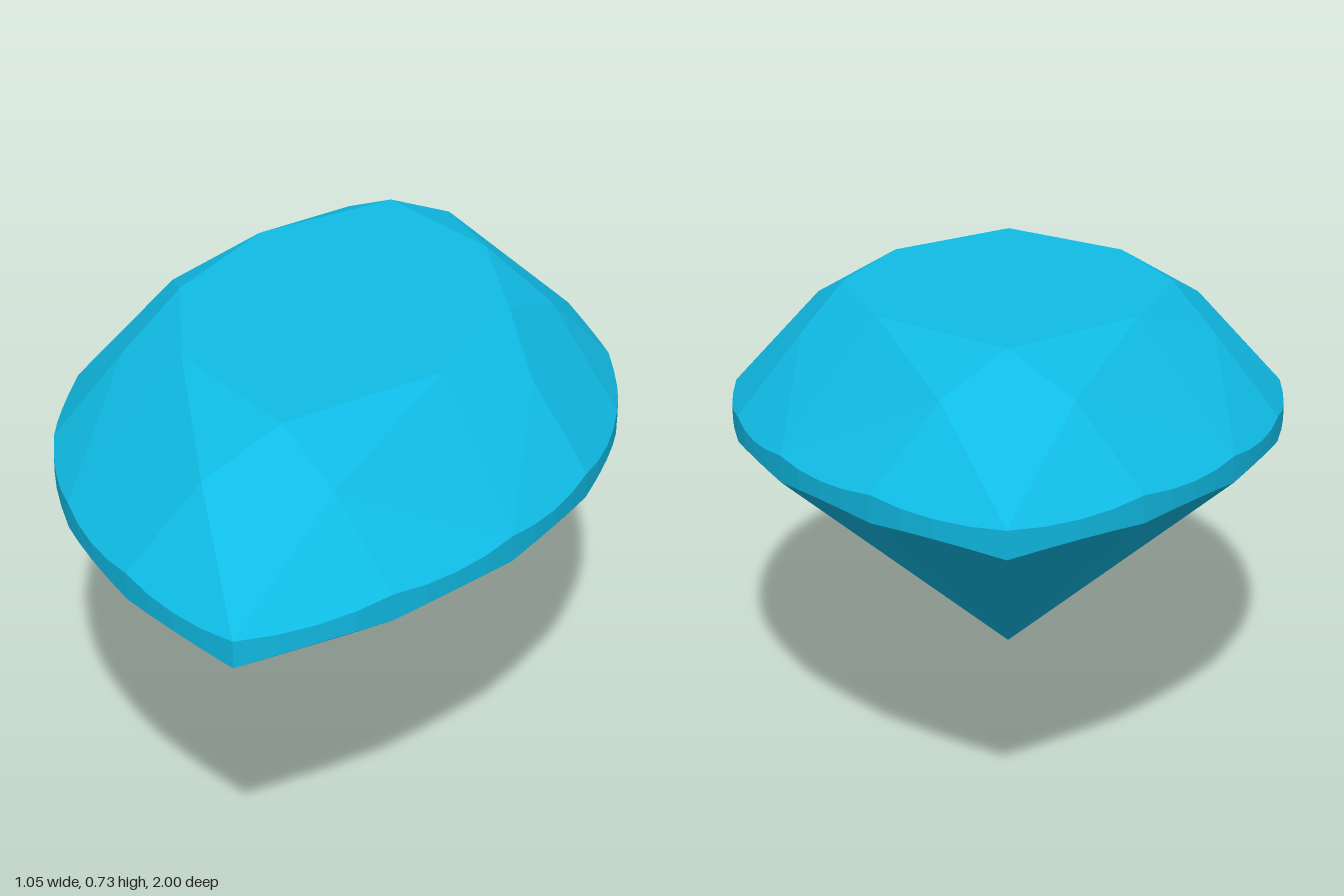
import * as THREE from 'three';

const TABLE_Y = 0.727, MID_Y = 0.667, TOP_Y = 0.533, LOW_Y = 0.486;
const HALF_WIDTH = 0.525, SECTORS = 16, STEPS = 4;

// Pointed oval made of two circular arcs; u runs 0..16 from the front tip round by +x
const RADIUS = (1 + HALF_WIDTH ** 2) / (2 * HALF_WIDTH);
const SWEEP = Math.asin(1 / RADIUS);
function outline(u, y, scale = 1) {
  u = ((u % SECTORS) + SECTORS) % SECTORS;
  const side = u < 8 ? 1 : -1;
  const a = (1 - (u % 8) / 4) * SWEEP;
  const x = RADIUS * Math.cos(a) - (RADIUS - HALF_WIDTH);
  return new THREE.Vector3(side * x * scale, y, side * RADIUS * Math.sin(a) * scale);
}

// Crown corners between the table and the girdle, at odd u
const MIDS = [[0.11, 0.72], [0.38, 0.2], [0.38, -0.2], [0.11, -0.72]];
function mid(u) {
  const k = (((u - 1) / 2) + 8) % 8;
  const side = k < 4 ? 1 : -1;
  const [x, z] = MIDS[k % 4];
  return new THREE.Vector3(side * x, MID_Y, side * z);
}

const table = (u) => outline(u, TABLE_Y, 0.6);

// Scalloped edge: the outline of sector i cut by the facet plane through p
function scallop(p, i, y) {
  const a = outline(i, y), b = outline(i + 1, y);
  const plane = new THREE.Plane().setFromCoplanarPoints(p, a, b);
  const points = [];
  for (let s = 0; s <= STEPS; s++) {
    const q = outline(i + s / STEPS, 0);
    q.y = -(plane.normal.x * q.x + plane.normal.z * q.z + plane.constant) / plane.normal.y;
    points.push(q);
  }
  return points;
}

export function createModel() {
  const group = new THREE.Group();
  group.name = 'marquiseGem';
  const material = new THREE.MeshStandardMaterial({ color: 0x10bce6, flatShading: true });
  const culet = new THREE.Vector3(0, 0, 0);
  const tableFaces = [], crown = [], girdle = [], pavilion = [];

  for (let i = 0; i < SECTORS; i += 2) {
    // Flat table
    tableFaces.push(new THREE.Vector3(0, TABLE_Y, 0), table(i), table(i + 2));
    // Kite facet and star facet
    crown.push(table(i), mid(i - 1), outline(i, TOP_Y));
    crown.push(table(i), outline(i, TOP_Y), mid(i + 1));
    crown.push(table(i), mid(i + 1), table(i + 2));
  }

  for (let i = 0; i < SECTORS; i++) {
    const m = mid(i % 2 ? i : i + 1);
    const top = scallop(m, i, TOP_Y);
    const low = scallop(culet, i, LOW_Y);
    for (let s = 0; s < STEPS; s++) {
      crown.push(m, top[s], top[s + 1]);
      girdle.push(low[s], low[s + 1], top[s + 1], low[s], top[s + 1], top[s]);
      pavilion.push(culet, low[s + 1], low[s]);
    }
  }

  const parts = { table: tableFaces, crown, girdle, pavilion };
  for (const [name, points] of Object.entries(parts)) {
    const geometry = new THREE.BufferGeometry().setFromPoints(points);
    geometry.computeVertexNormals();
    const mesh = new THREE.Mesh(geometry, material);
    mesh.name = name;
    group.add(mesh);
  }
  return group;
}
